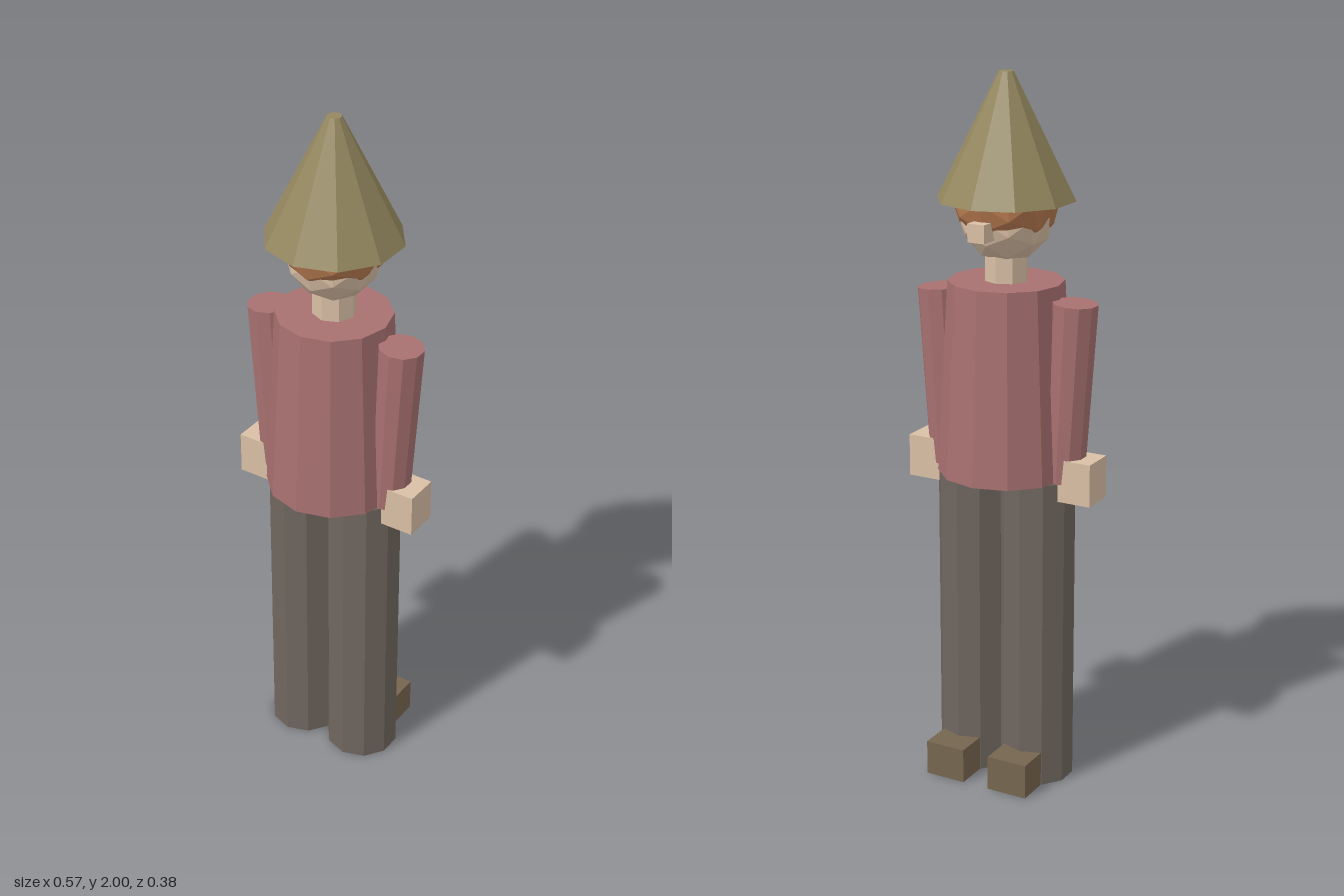
import * as THREE from 'three';

const material = (color) => new THREE.MeshStandardMaterial({ color, flatShading: true });
const skin = material(0xd9bfa5);
const hairBrown = material(0xb5794f);
const straw = material(0x94875f);
const shirt = material(0xa87070);
const cloth = material(0x6f665e);
const leather = material(0x75654f);

export function createModel() {
  const model = new THREE.Group();

  const add = (name, geometry, mat, x, y, z) => {
    const mesh = new THREE.Mesh(geometry, mat);
    mesh.name = name;
    mesh.position.set(x, y, z);
    model.add(mesh);
    return mesh;
  };
  // Tapered faceted column standing between two heights
  const column = (name, mat, rTop, rBottom, y0, y1, sides, x = 0) =>
    add(name, new THREE.CylinderGeometry(rTop, rBottom, y1 - y0, sides), mat, x, (y0 + y1) / 2, 0);

  // Body and neck
  column('torso', shirt, 0.16, 0.19, 0.9, 1.44, 12);
  column('neck', skin, 0.06, 0.06, 1.42, 1.56, 8);

  // Head, with the hair as a larger faceted ball cutting through its top
  add('head', new THREE.IcosahedronGeometry(0.13, 1), skin, 0, 1.62, 0);
  add('hair', new THREE.IcosahedronGeometry(0.148, 1), hairBrown, 0, 1.67, 0);
  add('nose', new THREE.BoxGeometry(0.05, 0.05, 0.06), skin, 0, 1.595, -0.135);

  // Conical hat
  column('hat', straw, 0.02, 0.19, 1.66, 2, 10);

  // Limbs, mirrored; the face and feet point to -z
  for (const side of [1, -1]) {
    const label = side > 0 ? 'left' : 'right';
    column(label + 'Leg', cloth, 0.105, 0.105, 0, 0.9, 10, side * 0.1);
    add(label + 'Foot', new THREE.BoxGeometry(0.12, 0.1, 0.1), leather, side * 0.1, 0.05, -0.13);
    const arm = column(label + 'Arm', shirt, 0.0625, 0.055, 0.9, 1.4, 10, side * 0.197);
    arm.rotation.z = -side * 0.055;
    add(label + 'Hand', new THREE.BoxGeometry(0.11, 0.12, 0.1), skin, side * 0.23, 0.91, 0);
  }
  return model;
}
